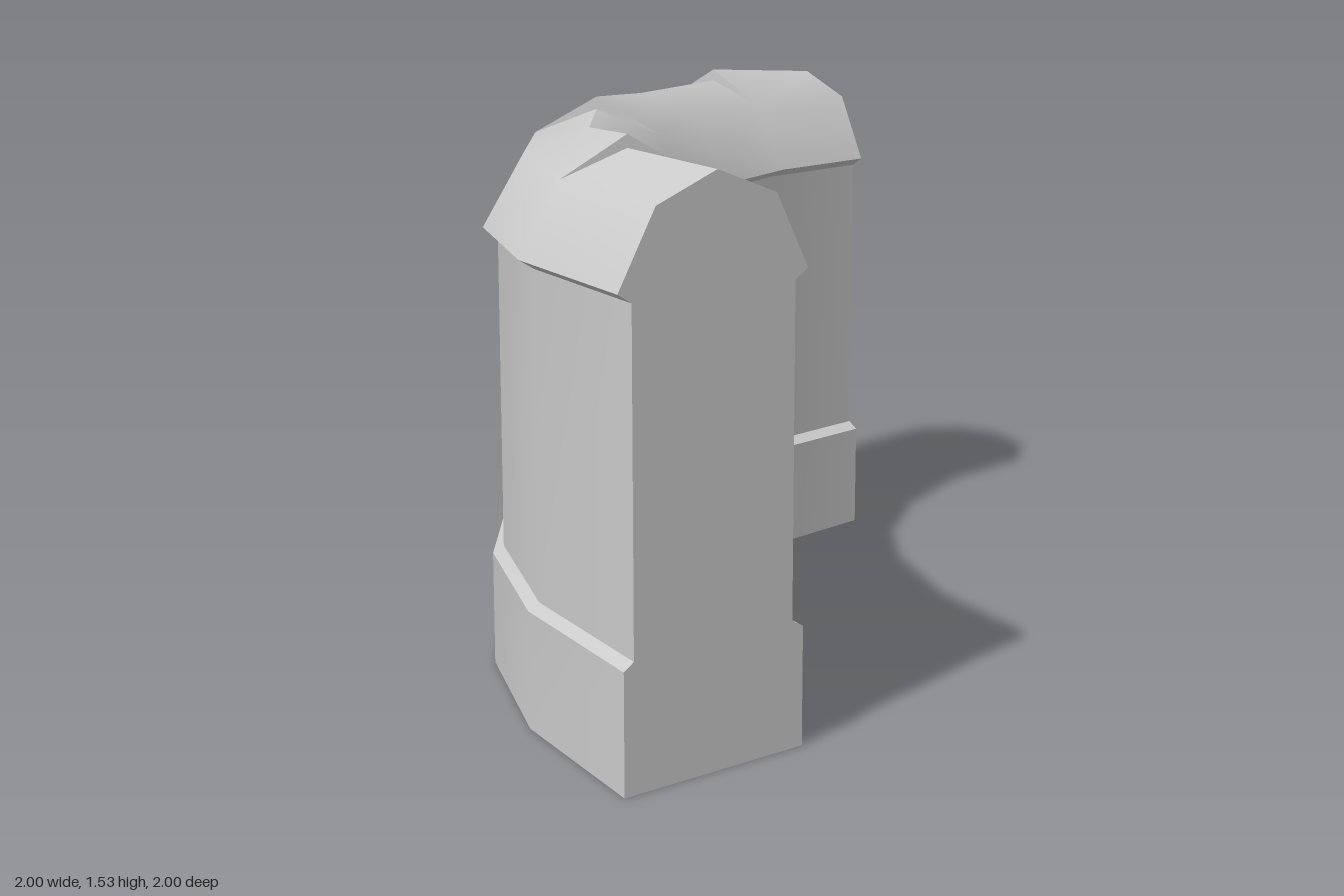
import * as THREE from 'three';
import { toCreasedNormals } from 'three/addons/utils/BufferGeometryUtils.js';

// Quarter ring of wall: six straight segments around the corner (1, 1)
const SEGMENTS = 6;
const RIDGE = 1.71, RIDGE_Y = 1.5, STEP_Y = 1.535;
const SHOULDER_Y = 1.43, OUT_SHOULDER = 1.89, IN_SHOULDER = 1.53;

// Cross-section as [radius, height], from the outer foot over the ridge to the inner foot
const outerFoot = [[1.99, 0], [1.99, 0.32]];
const outerLedge = [[1.99, 0.32], [1.96, 0.34]];
const outerWall = [[1.96, 0.34], [1.96, 1.21]];
const outerLip = [[1.96, 1.21], [2, 1.235]];
const outerCap = [[2, 1.235], [OUT_SHOULDER, SHOULDER_Y], [RIDGE, RIDGE_Y]];
const innerCap = [[RIDGE, RIDGE_Y], [IN_SHOULDER, SHOULDER_Y], [1.43, 1.235]];
const innerLip = [[1.43, 1.235], [1.47, 1.21]];
const innerWall = [[1.47, 1.21], [1.47, 0.34]];
const innerLedge = [[1.47, 0.34], [1.435, 0.32]];
const innerFoot = [[1.435, 0.32], [1.435, 0]];
const underside = [[1.435, 0], [1.99, 0]];

const isStep = (k) => k % 2 === 1; // the ridge jumps up at every odd joint

function point([r, y], k) {
  const a = (k / SEGMENTS) * Math.PI / 2;
  return [1 - r * Math.cos(a), y, 1 - r * Math.sin(a)];
}

function fromTriangles(positions) {
  const geo = new THREE.BufferGeometry();
  geo.setAttribute('position', new THREE.Float32BufferAttribute(positions, 3));
  geo.computeVertexNormals();
  return geo;
}

// Sweep a piece of the cross-section along the arc
function sweep(chain) {
  const pos = [];
  for (let k = 0; k < SEGMENTS; k++) {
    // a raised ridge starts just after each step and sinks back by the next joint
    const start = chain.map(([r, y]) => [r, y === RIDGE_Y && isStep(k) ? STEP_Y : y]);
    for (let i = 0; i < chain.length - 1; i++) {
      const a = point(start[i], k), b = point(start[i + 1], k);
      const c = point(chain[i], k + 1), d = point(chain[i + 1], k + 1);
      pos.push(...a, ...b, ...c, ...b, ...d, ...c);
    }
  }
  return toCreasedNormals(fromTriangles(pos), 0.85);
}

// Small upright faces closing the ridge steps
function stepFaces() {
  const pos = [];
  for (let k = 1; k < SEGMENTS; k += 2) {
    const low = point([RIDGE, RIDGE_Y], k), high = point([RIDGE, STEP_Y], k);
    pos.push(...low, ...point([IN_SHOULDER, SHOULDER_Y], k), ...high);
    pos.push(...low, ...high, ...point([OUT_SHOULDER, SHOULDER_Y], k));
  }
  return fromTriangles(pos);
}

export function createModel() {
  const group = new THREE.Group();
  const material = new THREE.MeshStandardMaterial({ color: 0xcccccc });
  const add = (name, geo) => {
    const mesh = new THREE.Mesh(geo, material);
    mesh.name = name;
    group.add(mesh);
    return mesh;
  };

  const bands = {
    outerFoot, outerLedge, outerWall, outerLip, outerCap,
    innerCap, innerLip, innerWall, innerLedge, innerFoot, underside,
  };
  for (const [name, chain] of Object.entries(bands)) add(name, sweep(chain));
  add('ridgeSteps', stepFaces());

  // Flat end faces
  const section = [
    ...outerFoot, ...outerWall, ...outerCap, ...innerCap.slice(1), ...innerWall, ...innerFoot,
  ];
  const endFace = (sign) => new THREE.ShapeGeometry(
    new THREE.Shape(section.map(([r, y]) => new THREE.Vector2(sign * (1 - r), y))));
  add('frontEnd', endFace(1)).position.z = 1;
  const leftEnd = add('leftEnd', endFace(-1));
  leftEnd.rotation.y = Math.PI / 2;
  leftEnd.position.x = 1;

  return group;
}
